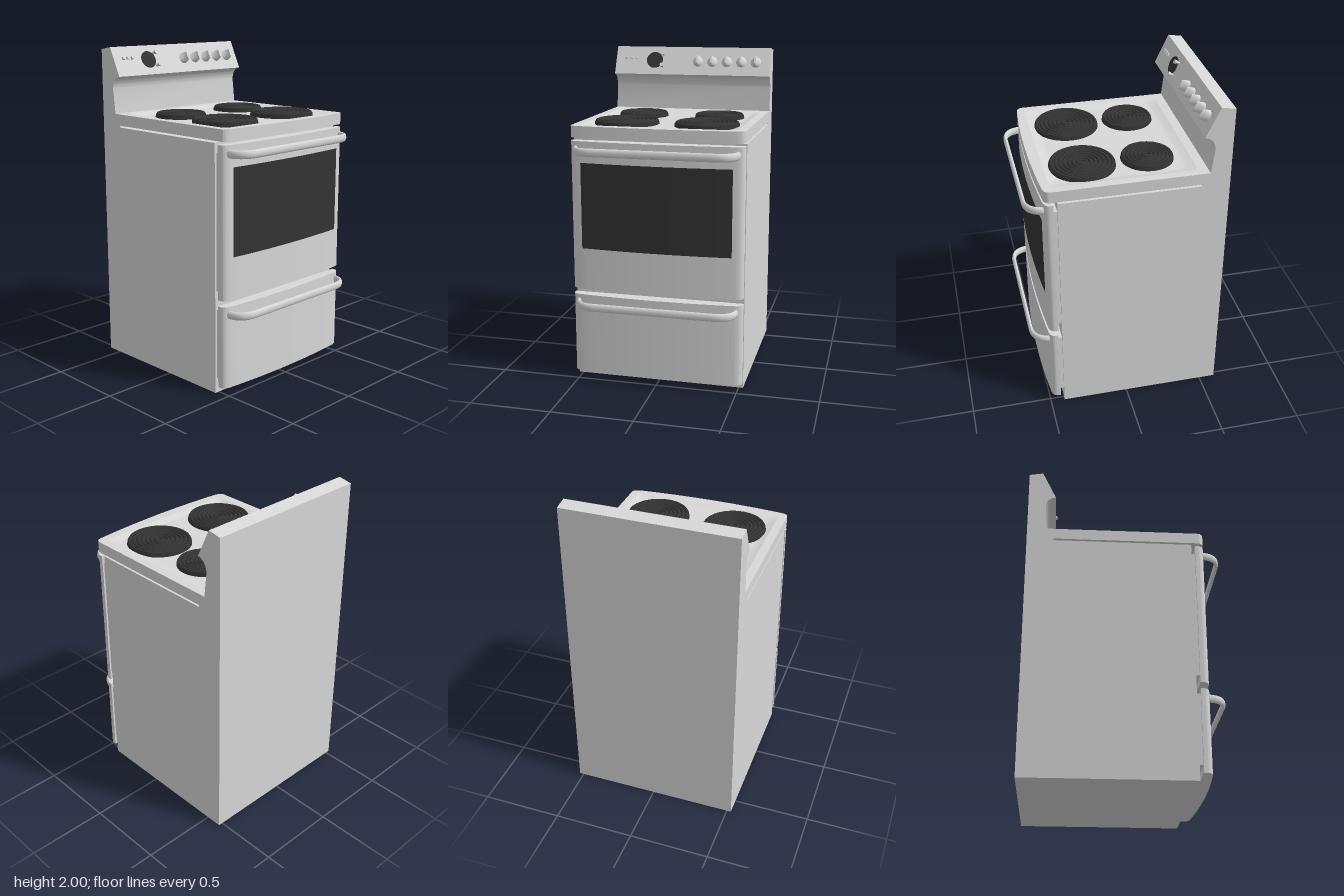
import * as THREE from 'three';
import { toCreasedNormals } from 'three/addons/utils/BufferGeometryUtils.js';

const HALF = 0.527; // half width of the stove along z
const enamel = new THREE.MeshStandardMaterial({ color: 0xd8d8d8 });
enamel.name = 'light grey enamel';
const black = new THREE.MeshStandardMaterial({ color: 0x333333 });
black.name = 'charcoal black';

function add(parent, name, geometry, material, x = 0, y = 0, z = 0) {
  const mesh = new THREE.Mesh(geometry, material);
  mesh.name = name;
  mesh.position.set(x, y, z);
  parent.add(mesh);
}

// Bow of the front faces, seen from above
const bowX = (z) => 0.513 - 0.023 * (z / 0.485) ** 2;

// Plan outline with a bowed front and rounded front corners
function frontPlan(back) {
  const s = new THREE.Shape();
  s.moveTo(back, -HALF);
  s.lineTo(0.452, -HALF);
  s.quadraticCurveTo(0.482, -HALF, 0.49, -0.485);
  s.quadraticCurveTo(0.536, 0, 0.49, 0.485);
  s.quadraticCurveTo(0.482, HALF, 0.452, HALF);
  s.lineTo(back, HALF);
  return s;
}

// Rounded rectangle in plan
function roundedRect(Type, x0, x1, w, r) {
  const s = new Type();
  s.moveTo(x0 + r, -w);
  s.lineTo(x1 - r, -w);
  s.quadraticCurveTo(x1, -w, x1, -w + r);
  s.lineTo(x1, w - r);
  s.quadraticCurveTo(x1, w, x1 - r, w);
  s.lineTo(x0 + r, w);
  s.quadraticCurveTo(x0, w, x0, w - r);
  s.lineTo(x0, -w + r);
  s.quadraticCurveTo(x0, -w, x0 + r, -w);
  return s;
}

// Raise a plan outline into an upright slab
function slab(shape, height) {
  const g = new THREE.ExtrudeGeometry(shape, { depth: height, bevelEnabled: false, curveSegments: 16 });
  g.rotateX(-Math.PI / 2);
  return toCreasedNormals(g, 0.5);
}

// Cabinet and backguard share one side profile
function cabinetGeometry() {
  const s = new THREE.Shape();
  s.moveTo(-0.6, 0);
  s.lineTo(0.412, 0);
  s.lineTo(0.412, 1.508);
  s.lineTo(-0.435, 1.508);
  s.lineTo(-0.435, 1.52);
  s.lineTo(-0.478, 1.52);
  s.lineTo(-0.478, 1.59);
  s.lineTo(-0.496, 1.745);
  s.quadraticCurveTo(-0.488, 1.812, -0.43, 1.822);
  s.lineTo(-0.515, 2);
  s.lineTo(-0.6, 1.985);
  const g = new THREE.ExtrudeGeometry(s, { depth: 2 * HALF, bevelEnabled: false, curveSegments: 10 });
  g.translate(0, 0, -HALF);
  return toCreasedNormals(g, 0.5);
}

// Shallow basin lofted through shrinking outlines down to a flat floor
function basinGeometry() {
  const loops = [[0, 1.59], [0.02, 1.584], [0.045, 1.578], [0.06, 1.576], [0.2, 1.576]].map(([inset, y]) =>
    roundedRect(THREE.Shape, -0.42 + inset, 0.445 - inset, 0.475 - inset, 0.05)
      .getPoints(8).map((p) => [p.x, y, p.y]));
  const n = loops[0].length;
  const last = (loops.length - 1) * n;
  const pos = [...loops.flat(2), 0.0125, 1.576, 0];
  const index = [];
  for (let i = 0; i < n - 1; i++) {
    for (let a = i; a < last; a += n) index.push(a, a + n, a + 1, a + 1, a + n, a + n + 1);
    index.push(last + i, last + n, last + i + 1);
  }
  const g = new THREE.BufferGeometry();
  g.setAttribute('position', new THREE.Float32BufferAttribute(pos, 3));
  g.setIndex(index);
  g.computeVertexNormals();
  return g;
}

// Coil burner: dark pan, concentric rings and three support arms
function burner(x, z, r) {
  const g = new THREE.Group();
  g.name = 'burner';
  g.position.set(x, 1.576, z);
  add(g, 'burnerPan', new THREE.CylinderGeometry(r - 0.003, r, 0.018, 48), black, 0, 0.009, 0);
  const rings = Math.round(r / 0.027);
  for (let i = 1; i <= rings; i++) {
    const ring = new THREE.TorusGeometry((r - 0.016) * i / rings, 0.01, 8, 48);
    ring.rotateX(Math.PI / 2);
    add(g, 'coilRing', ring, black, 0, 0.02, 0);
  }
  for (const angle of [Math.PI, Math.PI / 3, -Math.PI / 3]) {
    const arm = new THREE.BoxGeometry(r * 0.6, 0.012, 0.009);
    arm.translate(r * 0.65, 0, 0);
    arm.rotateY(angle);
    add(g, 'supportArm', arm, black, 0, 0.021, 0);
  }
  return g;
}

// Bar handle with bent ends and a tall oval section
function handleGeometry() {
  const path = new THREE.CurvePath();
  const v = (x, z) => new THREE.Vector3(x, 0, z);
  path.add(new THREE.CubicBezierCurve3(v(0.478, -0.49), v(0.54, -0.487), v(0.586, -0.45), v(0.586, -0.37)));
  path.add(new THREE.LineCurve3(v(0.586, -0.37), v(0.586, 0.37)));
  path.add(new THREE.CubicBezierCurve3(v(0.586, 0.37), v(0.586, 0.45), v(0.54, 0.487), v(0.478, 0.49)));
  const g = new THREE.TubeGeometry(path, 80, 0.0135, 12);
  g.scale(1, 1.85, 1);
  return g;
}

// Round peg standing out along local z
function peg(radius, depth, sides, rows = 1) {
  const g = new THREE.CylinderGeometry(radius, radius, depth, sides, rows);
  g.rotateX(Math.PI / 2);
  g.translate(0, 0, depth / 2);
  return g;
}

// Knob: round base pinched into an upright grip
function knobGeometry() {
  const g = peg(0.035, 0.05, 28, 8);
  const p = g.attributes.position;
  for (let i = 0; i < p.count; i++) {
    const t = THREE.MathUtils.clamp(p.getZ(i) / 0.05, 0, 1);
    p.setX(i, p.getX(i) * (0.18 + 0.82 * (1 - t) ** 1.8));
    p.setY(i, p.getY(i) * (1 - 0.25 * t * t));
  }
  g.computeVertexNormals();
  return g;
}

export function createModel() {
  const stove = new THREE.Group();
  stove.name = 'stove';
  add(stove, 'cabinet', cabinetGeometry(), enamel);

  // Cooktop
  const rim = frontPlan(-0.478);
  rim.holes.push(roundedRect(THREE.Path, -0.42, 0.445, 0.475, 0.05));
  add(stove, 'cooktopRim', slab(rim, 0.05), enamel, 0, 1.54, 0);
  add(stove, 'cooktopBase', slab(frontPlan(-0.478), 0.02), enamel, 0, 1.52, 0);
  add(stove, 'cooktopBasin', basinGeometry(), enamel);
  for (const z of [-0.25, 0.25]) stove.add(burner(0.215, z, 0.198), burner(-0.175, z, 0.158));

  // Oven door and drawer: bottom, height, inner panel bottom and height, handle height
  const fronts = [
    ['ovenDoor', 0.588, 0.912, 0.635, 0.815, 1.45],
    ['storageDrawer', 0.046, 0.504, 0.095, 0.425, 0.502],
  ];
  for (const [name, y, h, innerY, innerH, handleY] of fronts) {
    const g = new THREE.Group();
    g.name = name;
    add(g, 'frontPanel', slab(frontPlan(0.435), h), enamel, 0, y, 0);
    add(g, 'innerPanel', new THREE.BoxGeometry(0.03, innerH, 1.03), enamel, 0.424, innerY + innerH / 2, 0);
    add(g, 'handle', handleGeometry(), enamel, 0, handleY, 0);
    stove.add(g);
  }

  // Oven window follows the bow of the door
  const glass = new THREE.PlaneGeometry(0.92, 0.526, 32, 1);
  glass.rotateY(Math.PI / 2);
  const p = glass.attributes.position;
  for (let i = 0; i < p.count; i++) p.setX(i, bowX(p.getZ(i)) + 0.003);
  glass.computeVertexNormals();
  add(stove, 'ovenWindow', glass, black, 0, 1.108, 0);

  // Sloped control panel: local z points out of the slope
  const panel = new THREE.Group();
  panel.name = 'controlPanel';
  const up = new THREE.Vector3(-0.085, 0.178, 0).normalize();
  const side = new THREE.Vector3(0, 0, -1);
  const out = side.clone().cross(up);
  panel.quaternion.setFromRotationMatrix(new THREE.Matrix4().makeBasis(side, up, out));
  panel.position.set(-0.4725, 1.911, 0);
  stove.add(panel);
  for (let i = 0; i < 5; i++) add(panel, 'knob', knobGeometry(), enamel, 0.042 + i * 0.0975, -0.004, 0);
  for (let i = 0; i < 3; i++) {
    add(panel, 'indicator', new THREE.BoxGeometry(0.016, 0.016, 0.016), enamel, -0.455 + i * 0.035, 0.018, 0.006);
  }
  add(panel, 'clockFace', peg(0.055, 0.007, 36), black, -0.256, 0.002, 0);
  for (const y of [0.042, -0.042]) {
    add(panel, 'clockPin', peg(0.008, 0.03, 14), enamel, -0.2, y, 0);
    add(panel, 'clockPinCap', peg(0.013, 0.014, 16), enamel, -0.2, y, 0.021);
  }
  return stove;
}
